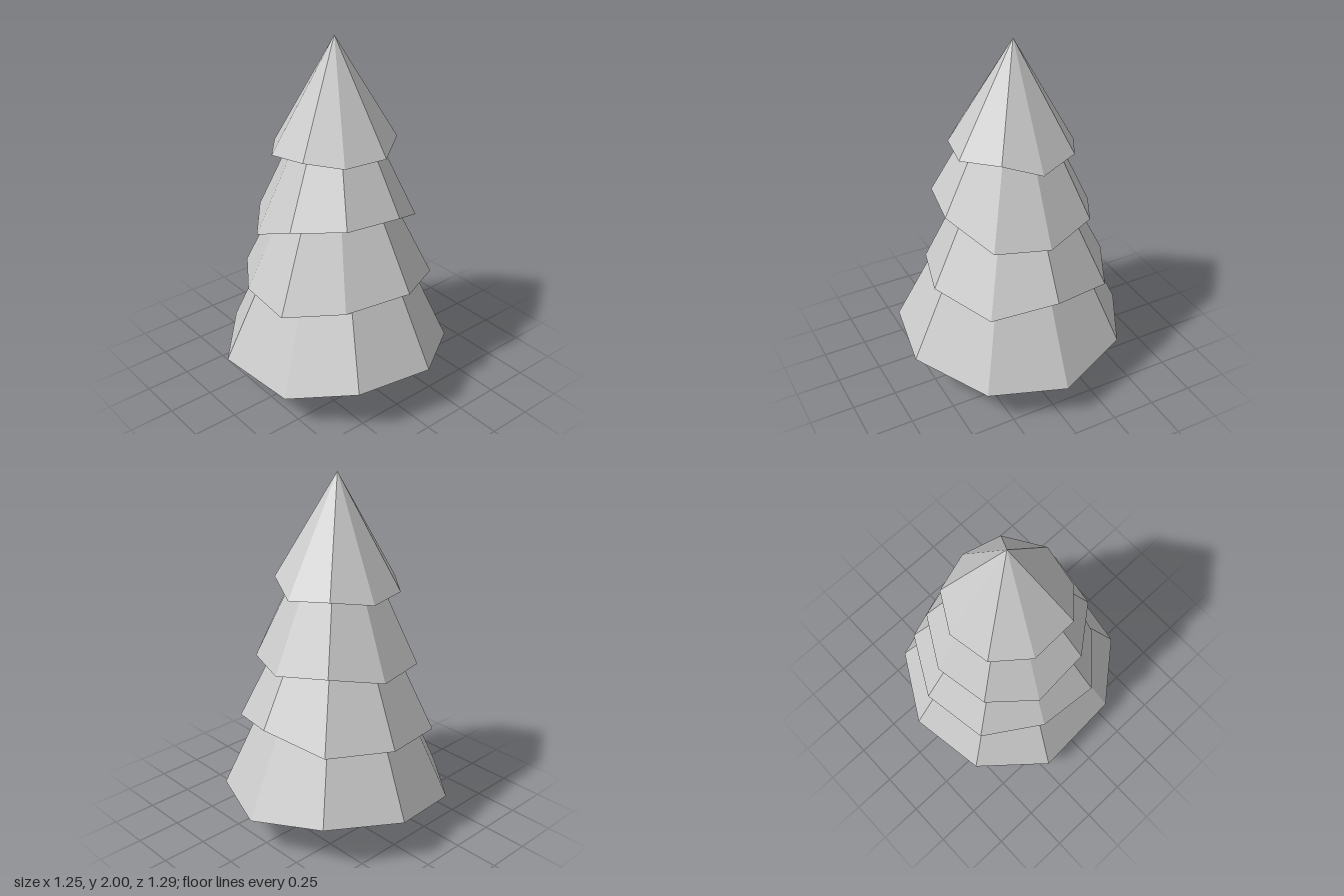
import * as THREE from 'three';

const CENTRE = -0.02; // x and z of the tree's axis

// Each tier: apex height, underside centre height, and nine rim points [x, y, z]
const TIERS = [
  { name: 'bottomBranches', apex: 1.61, under: 0.47, rim: [
    [0.62, 0.21, -0.02], [0.47, 0.21, 0.39], [0.09, 0.28, 0.645], [-0.34, 0.28, 0.57], [-0.6, 0.2, 0.27],
    [-0.625, 0.18, -0.24], [-0.34, 0.2, -0.575], [0.09, 0.26, -0.65], [0.47, 0.28, -0.43]] },
  { name: 'lowerMiddleBranches', apex: 1.72, under: 0.85, rim: [
    [0.505, 0.715, -0.015], [0.39, 0.64, 0.325], [0.065, 0.7, 0.5], [-0.29, 0.67, 0.4], [-0.53, 0.63, 0.165],
    [-0.5, 0.63, -0.18], [-0.3, 0.61, -0.485], [0.07, 0.64, -0.55], [0.4, 0.65, -0.37]] },
  { name: 'upperMiddleBranches', apex: 1.93, under: 1.25, rim: [
    [0.415, 1, -0.015], [0.315, 1, 0.265], [0.055, 1.12, 0.415], [-0.25, 1.12, 0.36], [-0.435, 1.085, 0.13],
    [-0.435, 0.95, -0.17], [-0.25, 0.99, -0.4], [0.055, 0.99, -0.455], [0.315, 1.045, -0.305]] },
  { name: 'topBranches', apex: 2, under: 1.6, rim: [
    [0.32, 1.39, -0.015], [0.24, 1.455, 0.18], [0.04, 1.425, 0.32], [-0.195, 1.42, 0.275], [-0.345, 1.445, 0.13],
    [-0.345, 1.4, -0.135], [-0.195, 1.39, -0.315], [0.04, 1.385, -0.355], [0.24, 1.42, -0.24]] },
];

// Faceted cone over an uneven rim, with a hollowed underside
function tierGeometry({ apex, under, rim }) {
  const positions = [];
  rim.forEach((point, i) => {
    const next = rim[(i + 1) % rim.length];
    positions.push(CENTRE, apex, CENTRE, ...next, ...point);
    positions.push(CENTRE, under, CENTRE, ...point, ...next);
  });
  const geometry = new THREE.BufferGeometry();
  geometry.setAttribute('position', new THREE.Float32BufferAttribute(positions, 3));
  geometry.computeVertexNormals();
  return geometry;
}

export function createModel() {
  const model = new THREE.Group();
  model.name = 'pineTree';
  const material = new THREE.MeshStandardMaterial({ color: 0xcccccc, flatShading: true });

  // Tapered trunk, reaching up into the lowest tier
  const trunk = new THREE.Mesh(new THREE.CylinderGeometry(0.055, 0.09, 0.7, 9), material);
  trunk.name = 'trunk';
  trunk.position.set(-0.025, 0.35, CENTRE);
  model.add(trunk);

  // Four stacked tiers of branches
  for (const tier of TIERS) {
    const mesh = new THREE.Mesh(tierGeometry(tier), material);
    mesh.name = tier.name;
    model.add(mesh);
  }
  return model;
}
